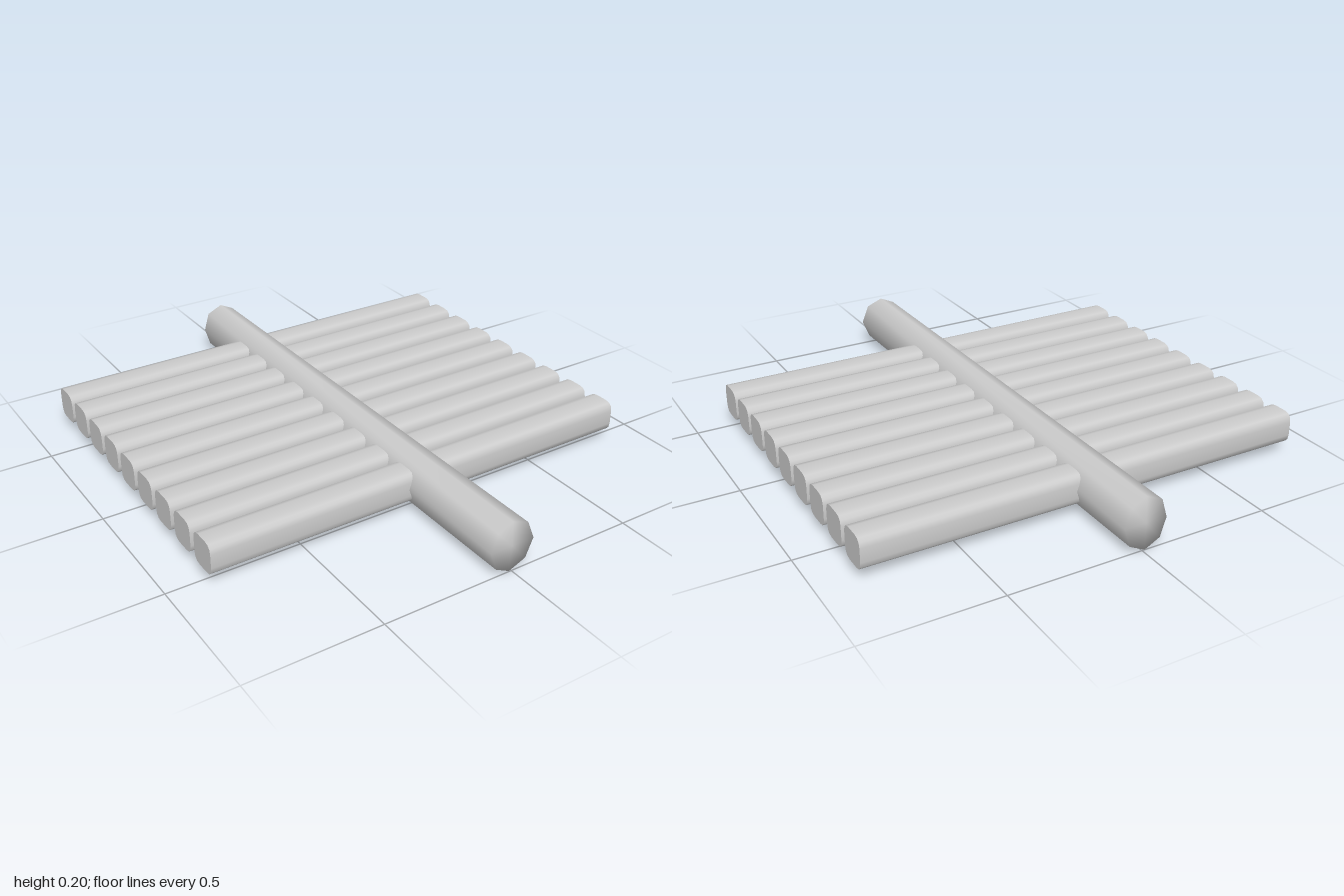
import * as THREE from 'three';
import { toCreasedNormals } from 'three/addons/utils/BufferGeometryUtils.js';

const SLATS = 9, FIRST_Z = -0.669, STEP = 0.1455;

// Rounded-square bar lying along x, with flat ends
function slatGeometry(length, width, height, r) {
  const w = width / 2, h = height / 2;
  const s = new THREE.Shape();
  s.moveTo(-w + r, -h);
  s.lineTo(w - r, -h);
  s.quadraticCurveTo(w, -h, w, -h + r);
  s.lineTo(w, h - r);
  s.quadraticCurveTo(w, h, w - r, h);
  s.lineTo(-w + r, h);
  s.quadraticCurveTo(-w, h, -w, h - r);
  s.lineTo(-w, -h + r);
  s.quadraticCurveTo(-w, -h, -w + r, -h);
  const g = new THREE.ExtrudeGeometry(s, { depth: length, bevelEnabled: false, curveSegments: 3 });
  g.translate(0, 0, -length / 2).rotateY(Math.PI / 2);
  return toCreasedNormals(g, Math.PI / 3);
}

// Eight-sided spine lofted between a front and a slightly shifted back section
function spineGeometry() {
  const front = [[-0.01, 0.002], [0.056, 0.03], [0.085, 0.1], [0.056, 0.17],
    [-0.008, 0.195], [-0.066, 0.168], [-0.09, 0.1], [-0.066, 0.03]];
  const back = [[-0.01, 0], [0.05, 0.03], [0.072, 0.1], [0.05, 0.172],
    [-0.006, 0.2], [-0.068, 0.172], [-0.09, 0.1], [-0.068, 0.03]];
  const n = front.length, pos = [], idx = [];
  for (const [x, y] of front) pos.push(x, y, 1);
  for (const [x, y] of back) pos.push(x, y, -1);
  pos.push(-0.005, 0.1, 1, -0.01, 0.1, -1);
  for (let i = 0; i < n; i++) {
    const j = (i + 1) % n;
    idx.push(i, n + i, j, j, n + i, n + j);
    idx.push(2 * n, i, j, 2 * n + 1, n + j, n + i);
  }
  const g = new THREE.BufferGeometry();
  g.setAttribute('position', new THREE.Float32BufferAttribute(pos, 3));
  g.setIndex(idx);
  g.computeVertexNormals();
  return g;
}

export function createModel() {
  const group = new THREE.Group();
  const grey = new THREE.MeshStandardMaterial({ name: 'light grey', color: 0xcccccc });

  const spine = new THREE.Mesh(spineGeometry(), grey);
  spine.name = 'spine';
  group.add(spine);

  // Row of cross slats passing through the spine
  const slatGeo = slatGeometry(1.718, 0.117, 0.12, 0.034);
  for (let i = 0; i < SLATS; i++) {
    const slat = new THREE.Mesh(slatGeo, grey);
    slat.name = `slat${i + 1}`;
    slat.position.set(0, 0.1, FIRST_Z + i * STEP);
    group.add(slat);
  }
  return group;
}
